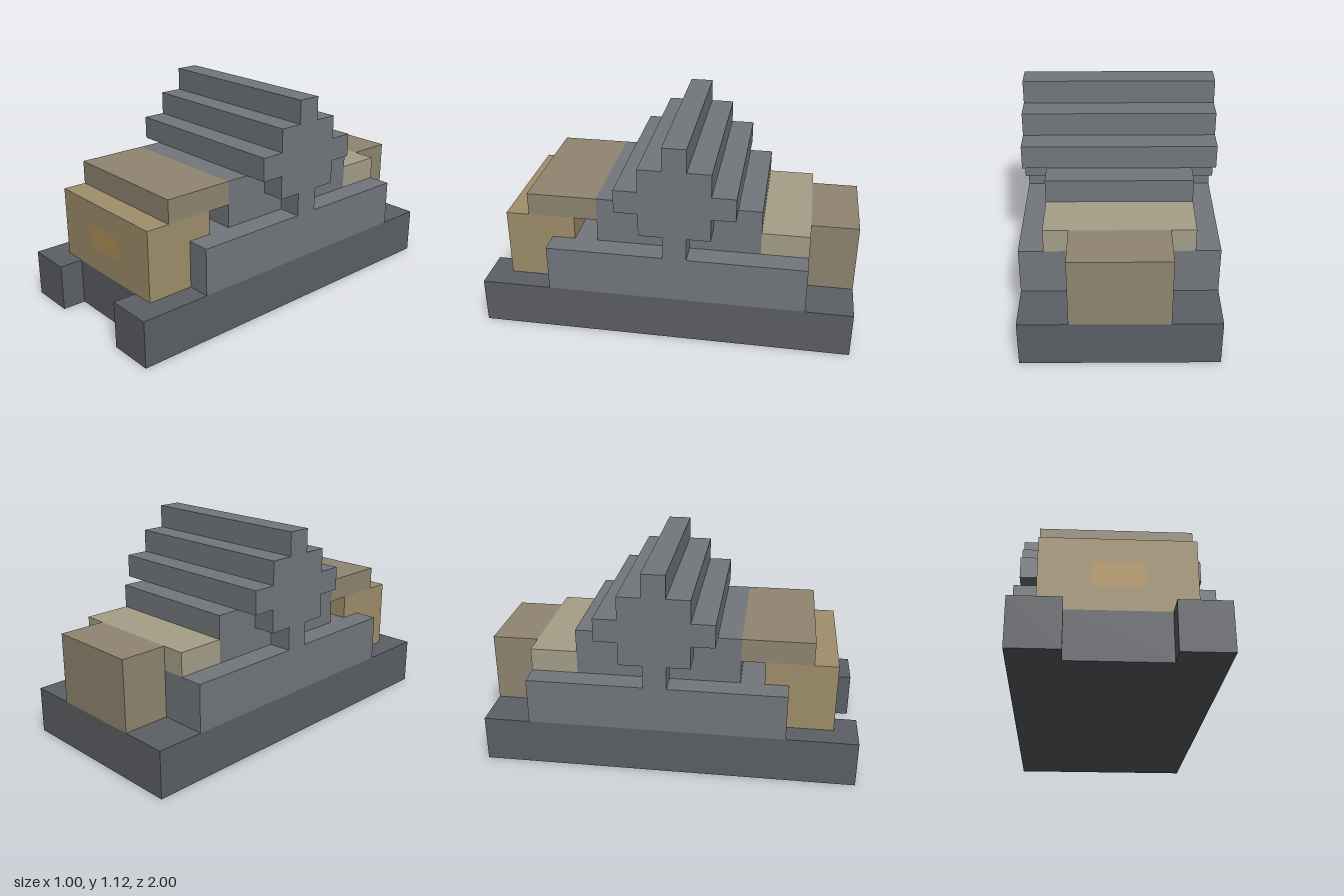
import * as THREE from 'three';

const material = (color) => new THREE.MeshStandardMaterial({ color });

// Turns a (z, y) outline into a prism running along x, centred on x = 0.
function prism(points, width) {
  const shape = new THREE.Shape(points.map(([z, y]) => new THREE.Vector2(z, y)));
  const geometry = new THREE.ExtrudeGeometry(shape, { depth: width, bevelEnabled: false });
  return geometry.translate(0, 0, -width / 2).rotateY(-Math.PI / 2);
}

// Turns an (x, z) outline into a slab between two heights.
function slab(points, y0, y1) {
  const shape = new THREE.Shape(points.map(([x, z]) => new THREE.Vector2(x, -z)));
  const geometry = new THREE.ExtrudeGeometry(shape, { depth: y1 - y0, bevelEnabled: false });
  return geometry.rotateX(-Math.PI / 2).translate(0, y0, 0);
}

// Box centred on x, given by half width and its y and z ranges.
function block(halfX, [y0, y1], [z0, z1]) {
  return new THREE.BoxGeometry(halfX * 2, y1 - y0, z1 - z0)
    .translate(0, (y0 + y1) / 2, (z0 + z1) / 2);
}

export function createModel() {
  const model = new THREE.Group();
  model.name = 'model';
  const darkGrey = material(0x5c5f64);
  const grey = material(0x73777c);
  const gold = material(0xa0906b);
  const brown = material(0x908671);
  const paleTan = material(0xa6a089);
  const orange = material(0xb29156);

  const add = (name, geometry, mat) => {
    const mesh = new THREE.Mesh(geometry, mat);
    mesh.name = name;
    model.add(mesh);
  };

  // Base plate with a notch in its front edge
  add('base', slab([
    [-0.5, -1], [0.5, -1], [0.5, 1], [0.25, 1],
    [0.25, 0.875], [-0.25, 0.875], [-0.25, 1], [-0.5, 1],
  ], 0, 0.25), darkGrey);

  // Body deck, its two front arms hugging the front box
  add('deck', slab([
    [-0.5, -0.75], [0.5, -0.75], [0.5, 0.625], [0.375, 0.625],
    [0.375, 0.5], [-0.375, 0.5], [-0.375, 0.625], [-0.5, 0.625],
  ], 0.25, 0.5), grey);

  // Narrower core below the stepped ridge
  add('core', block(0.375, [0.5, 0.75], [-0.5, 0.375]), grey);

  // Stepped ridge: half widths of the tiers from the stem up, mirrored in z
  const tiers = [0.0625, 0.1875, 0.3125, 0.1875, 0.0625];
  const centre = -0.0625;
  const side = (sign) => tiers.flatMap((half, i) => [0, 1].map(
    (k) => [centre + sign * half, 0.5 + (i + k) * 0.125]));
  add('steppedRidge', prism([...side(1), ...side(-1).reverse()], 1), grey);

  // Front box, its set-back lid and the coloured panel
  add('frontBox', block(0.375, [0.25, 0.625], [0.5, 0.875]), gold);
  add('frontLid', block(0.375, [0.625, 0.75], [0.375, 0.75]), brown);
  add('frontPanel', new THREE.PlaneGeometry(0.25, 0.125).translate(0, 0.4375, 0.877), orange);

  // Rear box and the pale step ahead of it
  add('rearBox', block(0.25, [0.25, 0.625], [-1, -0.75]), brown);
  add('rearStep', block(0.375, [0.5, 0.625], [-0.75, -0.5]), paleTan);

  return model;
}
